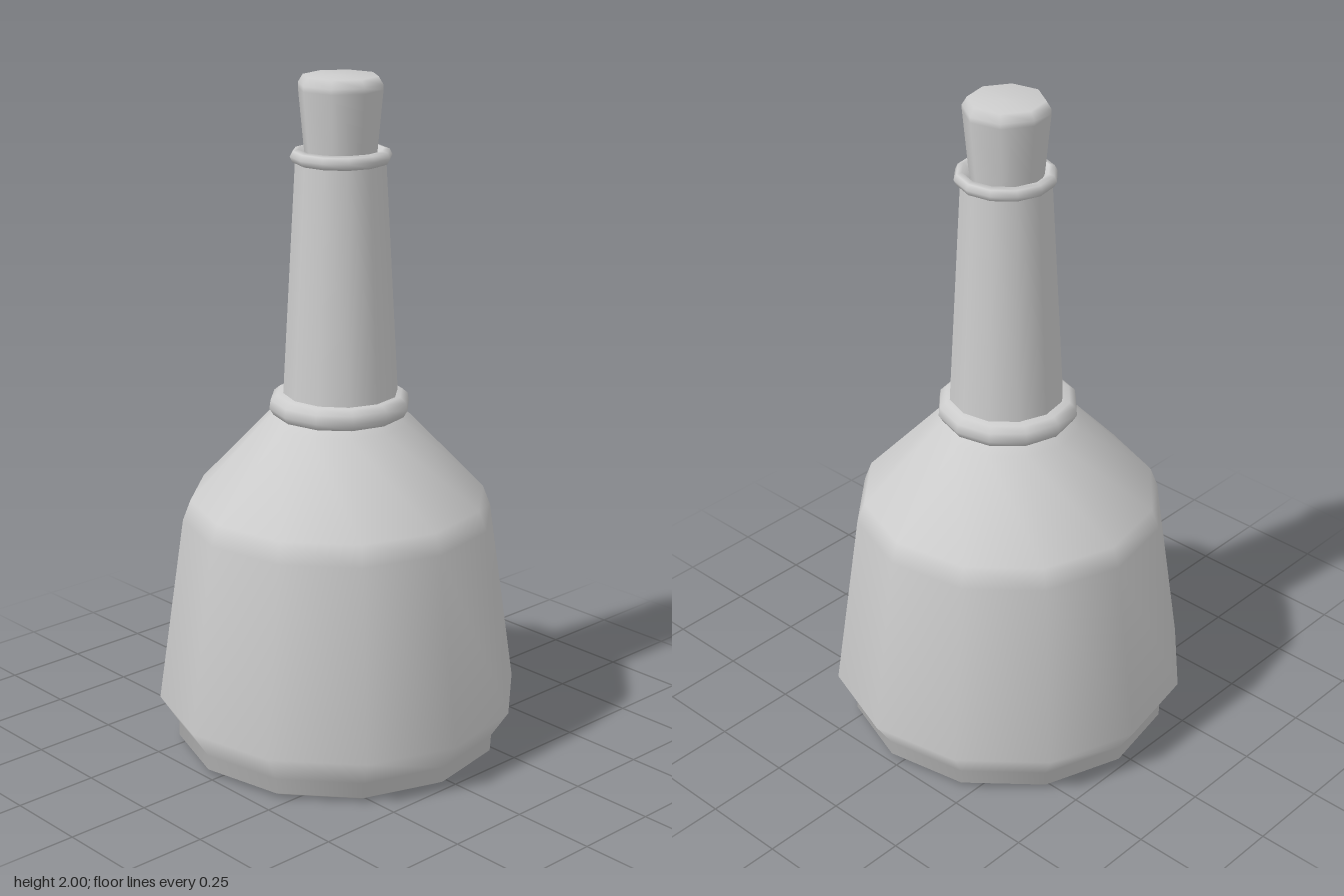
import * as THREE from 'three';

const DEG = Math.PI / 180;

// Smooth low-poly turned part; profile is [radius, height] from bottom to top.
function turned(name, profile, sides, phase, material, x = 0) {
  const points = profile.map(([r, y]) => new THREE.Vector2(r, y));
  const mesh = new THREE.Mesh(new THREE.LatheGeometry(points, sides, phase * DEG), material);
  mesh.name = name;
  mesh.position.x = x;
  return mesh;
}

export function createModel() {
  const group = new THREE.Group();
  group.name = 'bottle';
  const grey = new THREE.MeshStandardMaterial({ color: 0xcccccc });
  grey.name = 'pale grey';

  // Wide body with a hollowed underside, foot and sloping shoulder
  group.add(turned('body', [
    [0, 0.09], [0.25, 0.07], [0.41, 0.025], [0.46, 0.0], [0.485, 0.015],
    [0.485, 0.06], [0.54, 0.145], [0.46, 0.705], [0.437, 0.765],
    [0.215, 1.0], [0.17, 1.035],
  ], 12, -4.3, grey));

  // Rounded collar where the neck meets the shoulder
  group.add(turned('collar', [
    [0.17, 1.01], [0.195, 1.02], [0.207, 1.04], [0.203, 1.065], [0.185, 1.08], [0.155, 1.085],
  ], 12, -2, grey, 0.006));

  // Tapering neck
  group.add(turned('neck', [[0.173, 1.03], [0.168, 1.085], [0.13, 1.76]], 12, -4.3, grey, 0.011));

  // Rounded lip that turns inwards around the cork
  group.add(turned('lip', [
    [0.122, 1.75], [0.138, 1.757], [0.146, 1.773], [0.138, 1.789], [0.122, 1.793], [0.1, 1.77],
  ], 12, -4.3, grey, 0.013));

  // Flared cork with a bevelled top
  group.add(turned('cork', [
    [0.1, 1.74], [0.107, 1.8], [0.122, 1.96], [0.122, 1.975], [0.108, 1.998], [0, 2.0],
  ], 8, -10, grey, 0.01));

  return group;
}
